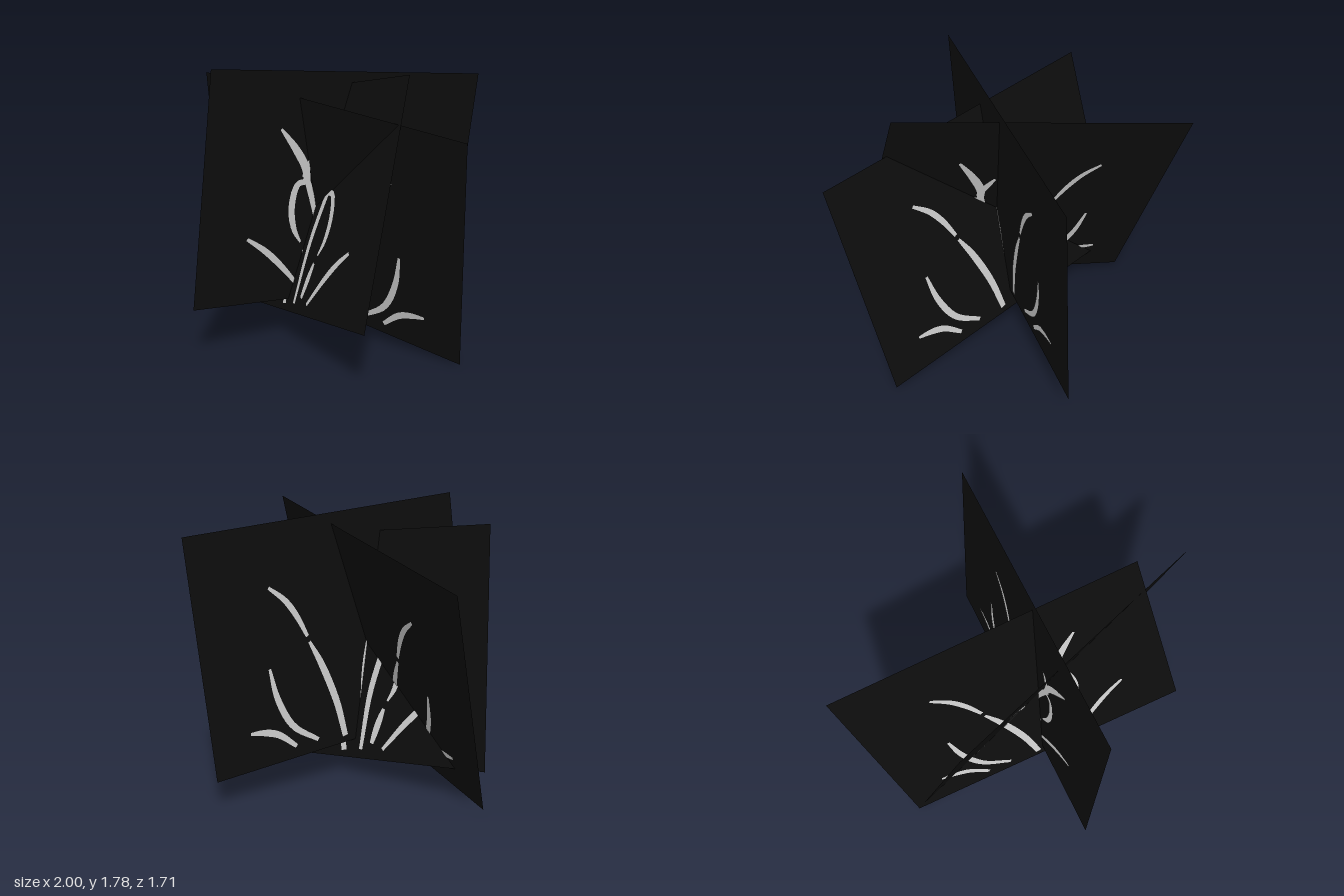
import * as THREE from 'three';

const W = 1.96, H = 1.475;

// Tapered blade outline along a curve; points are fractions of card width and height
function bladeShape(points, width, base = 0.6, tip = 0.3) {
  const curve = new THREE.CatmullRomCurve3(points.map(([a, b]) => new THREE.Vector3(a * W, b * H, 0)));
  const left = [], right = [], n = 14;
  for (let i = 0; i <= n; i++) {
    const t = i / n, p = curve.getPoint(t), d = curve.getTangent(t);
    const end = t < 0.5 ? base : tip;
    const w = (width / 2) * (end + (1 - end) * Math.sin(Math.PI * t));
    left.push(new THREE.Vector2(p.x - d.y * w, p.y + d.x * w));
    right.unshift(new THREE.Vector2(p.x + d.y * w, p.y - d.x * w));
  }
  return new THREE.Shape([...left, ...right]);
}

// One grass tuft, shared by all cards
const tuft = [
  // tall right blade, broken near its bend
  bladeShape([[0.027, -0.47], [0.045, -0.31], [0.085, -0.13], [0.120, -0.02]], 0.05, 0.8, 0.4),
  bladeShape([[0.125, 0.005], [0.155, 0.10], [0.19, 0.175], [0.242, 0.24]], 0.04, 0.6, 0.5),
  // curved right blade and low right blade
  bladeShape([[0.130, -0.45], [0.215, -0.36], [0.258, -0.23], [0.273, -0.094]], 0.045, 0.6, 0.4),
  bladeShape([[0.212, -0.45], [0.27, -0.38], [0.315, -0.355], [0.367, -0.342]], 0.045, 0.6, 0.4),
  // slanted left blade
  bladeShape([[-0.126, -0.452], [-0.21, -0.335], [-0.27, -0.265], [-0.335, -0.208]], 0.042, 0.5, 0.5),
  // tall left blade with its fork
  bladeShape([[-0.04, -0.46], [-0.076, -0.197], [-0.128, 0.0], [-0.148, 0.06]], 0.042, 0.6, 0.9),
  bladeShape([[-0.138, 0.02], [-0.150, 0.09], [-0.190, 0.17], [-0.25, 0.26]], 0.055, 0.8, 0.3),
  bladeShape([[-0.150, 0.05], [-0.138, 0.10], [-0.113, 0.158]], 0.045, 0.9, 0.4),
  // drooping blade and the short stalk below it
  bladeShape([[-0.142, 0.03], [-0.172, 0.02], [-0.187, -0.08], [-0.170, -0.18], [-0.142, -0.24]], 0.045, 0.8, 0.3),
  bladeShape([[-0.083, -0.43], [-0.105, -0.35], [-0.128, -0.275]], 0.045, 0.6, 0.5),
];

// Centre and direction across each card, plus its approximate up direction
const cards = [
  { name: 'leaningBackCard', centre: [-0.205, 0.895, 0.015], across: [-1.53, -0.35, -1.17], up: [0.06, 1.38, -0.5] },
  { name: 'leaningForwardCard', centre: [0, 0.84, 0.135], across: [1.88, -0.24, 0.47], up: [0.09, 1.44, 0.34] },
  { name: 'uprightCard', centre: [0.02, 0.98, -0.045], across: [1.12, -0.15, -1.61], up: [0.16, 1.47, -0.02] },
];

export function createModel() {
  const black = new THREE.MeshStandardMaterial({ color: 0x0d0d0d, side: THREE.DoubleSide });
  black.name = 'card black';
  const grey = new THREE.MeshStandardMaterial({ color: 0xcccccc, side: THREE.DoubleSide });
  grey.name = 'blade grey';

  const model = new THREE.Group();
  model.name = 'crossedGrassCards';
  const cardGeometry = new THREE.PlaneGeometry(W, H);
  const tuftGeometry = new THREE.ShapeGeometry(tuft);

  for (const { name, centre, across, up } of cards) {
    const group = new THREE.Group();
    group.name = name;
    const x = new THREE.Vector3(...across).normalize();
    const z = x.clone().cross(new THREE.Vector3(...up)).normalize();
    const y = z.clone().cross(x);
    group.quaternion.setFromRotationMatrix(new THREE.Matrix4().makeBasis(x, y, z));
    group.position.set(...centre);

    const card = new THREE.Mesh(cardGeometry, black);
    card.name = 'card';
    group.add(card);

    // painted blades on both faces
    for (const side of [1, -1]) {
      const blades = new THREE.Mesh(tuftGeometry, grey);
      blades.name = side > 0 ? 'frontBlades' : 'backBlades';
      blades.position.z = side * 0.003;
      group.add(blades);
    }
    model.add(group);
  }
  return model;
}
